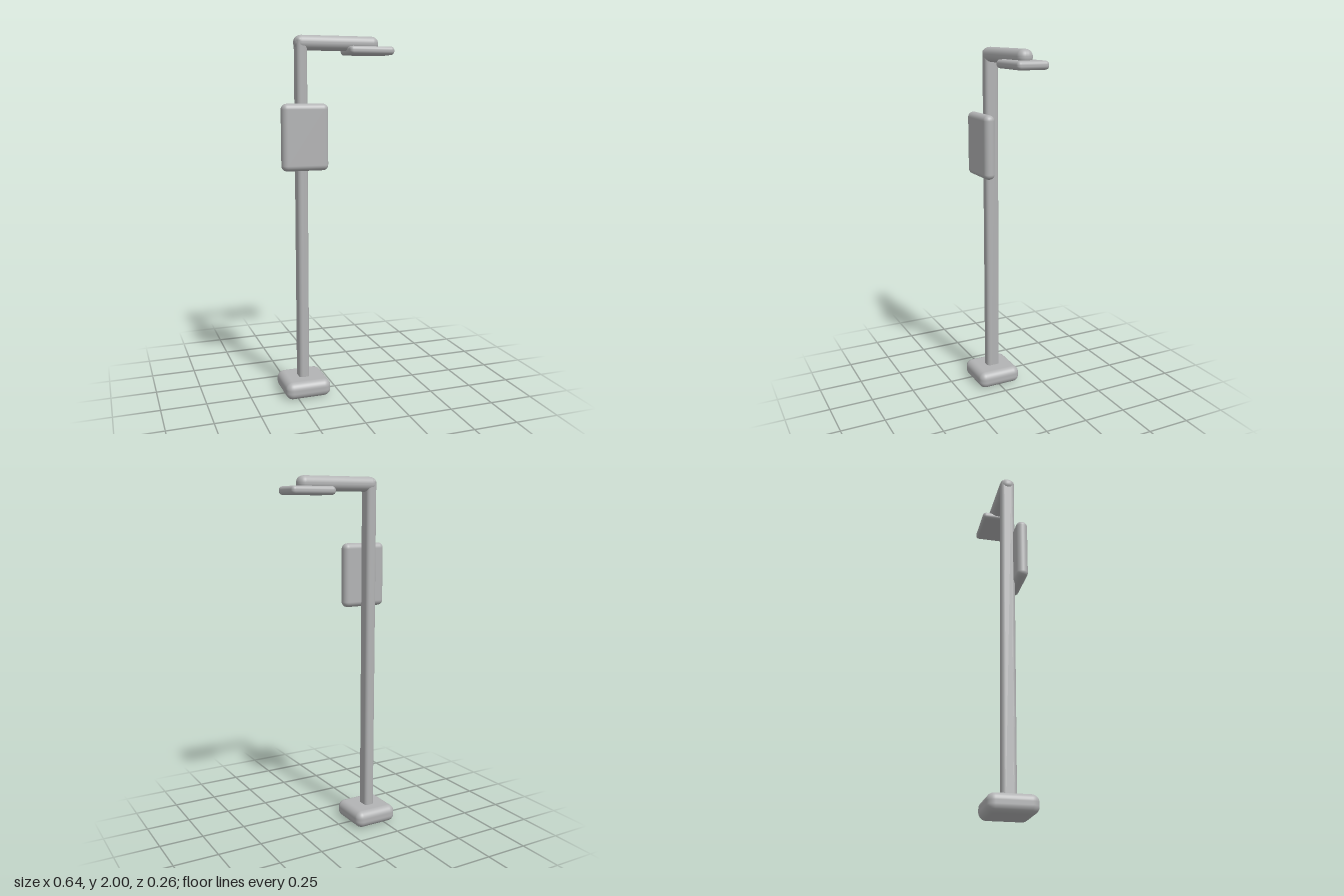
import * as THREE from 'three';
import { RoundedBoxGeometry } from 'three/addons/geometries/RoundedBoxGeometry.js';

const grey = new THREE.MeshStandardMaterial({ color: 0xb2b3b4 });
grey.name = 'grey metal';

// Rounded box given by its [min, max] extents on each axis
function roundedPart(name, [x0, x1], [y0, y1], [z0, z1], radius) {
  const geometry = new RoundedBoxGeometry(x1 - x0, y1 - y0, z1 - z0, 4, radius);
  const mesh = new THREE.Mesh(geometry, grey);
  mesh.name = name;
  mesh.position.set((x0 + x1) / 2, (y0 + y1) / 2, (z0 + z1) / 2);
  return mesh;
}

export function createModel() {
  const model = new THREE.Group();
  model.name = 'streetLamp';
  model.add(
    // foot and upright
    roundedPart('base', [-0.32, -0.06], [0, 0.098], [-0.13, 0.13], 0.04),
    roundedPart('pole', [-0.223, -0.163], [0.02, 1.99], [-0.04, 0.04], 0.02),
    // arm reaching out to the lamp
    roundedPart('arm', [-0.23, 0.248], [1.92, 2], [-0.043, 0.043], 0.038),
    roundedPart('lampHead', [0.06, 0.318], [1.9, 1.945], [-0.09, 0.09], 0.02),
    // plate on the front of the pole
    roundedPart('signPanel', [-0.32, -0.06], [1.283, 1.641], [0.028, 0.092], 0.03),
  );
  return model;
}
